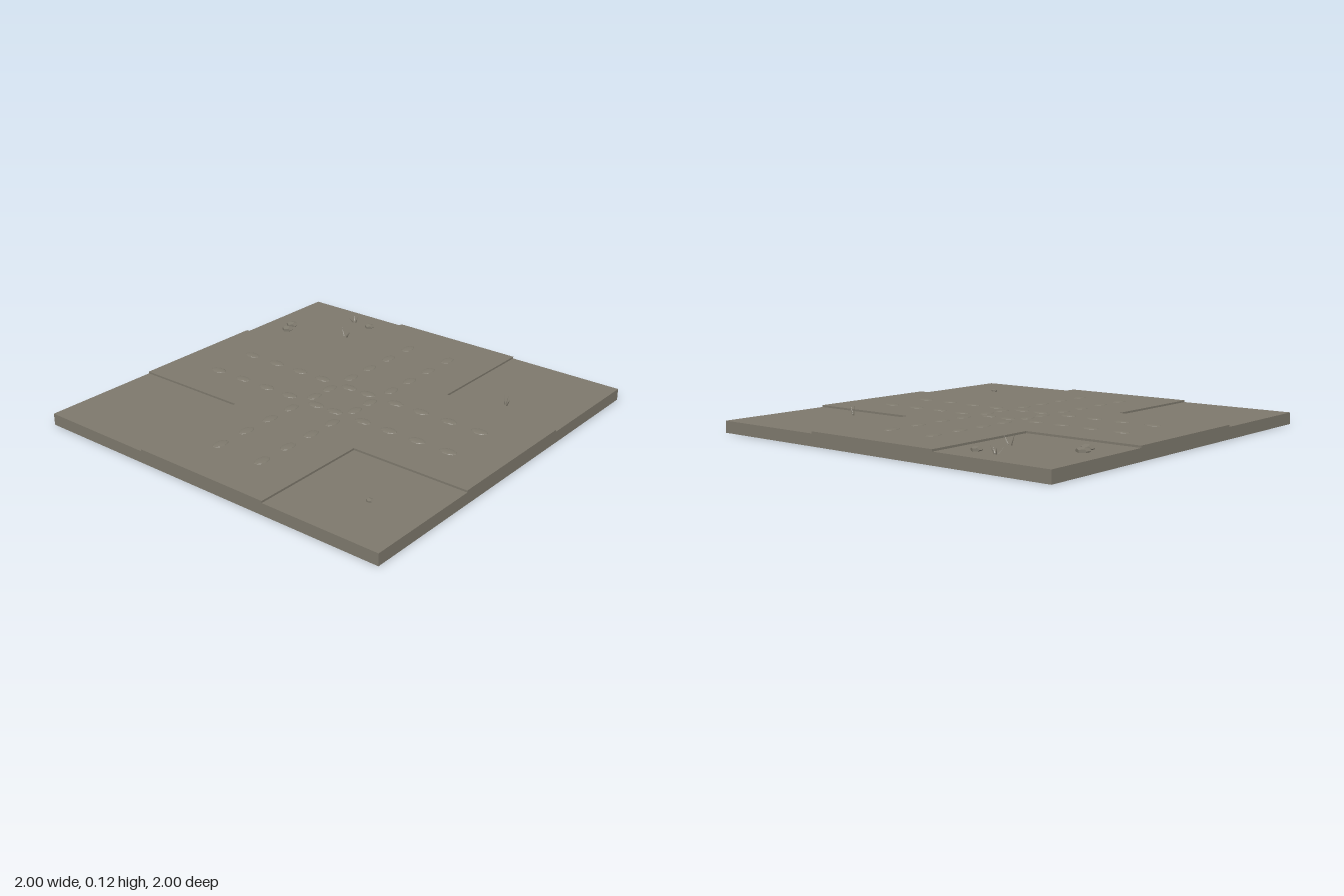
import * as THREE from 'three';

const BASE_TOP = 0.06, ROAD_TOP = 0.07, ROAD_HALF = 0.375;

export function createModel() {
  const group = new THREE.Group();
  const stone = new THREE.MeshStandardMaterial({ color: 0x7d786c, flatShading: true });
  stone.name = 'grey brown earth';

  const add = (name, geometry, x = 0, y = 0, z = 0) => {
    const mesh = new THREE.Mesh(geometry, stone);
    mesh.name = name;
    mesh.position.set(x, y, z);
    group.add(mesh);
    return mesh;
  };

  // Square ground tile
  add('groundSlab', new THREE.BoxGeometry(2, BASE_TOP, 2), 0, BASE_TOP / 2, 0);

  // Raised crossroads, one cross-shaped sheet
  const r = ROAD_HALF;
  const cross = new THREE.Shape([
    [-r, -1], [r, -1], [r, -r], [1, -r], [1, r], [r, r],
    [r, 1], [-r, 1], [-r, r], [-1, r], [-1, -r], [-r, -r],
  ].map(([x, y]) => new THREE.Vector2(x, y)));
  const road = new THREE.ExtrudeGeometry(cross, { depth: ROAD_TOP - BASE_TOP, bevelEnabled: false });
  road.rotateX(-Math.PI / 2);
  add('crossroads', road, 0, BASE_TOP, 0);

  // Low worn lumps along the wheel tracks of both roads
  const lump = new THREE.SphereGeometry(1, 10, 4, 0, Math.PI * 2, 0, Math.PI / 2);
  for (const along of [0.06, 0.235, 0.39, 0.555, 0.73]) {
    for (const end of [-1, 1]) for (const side of [-0.13, 0.13]) {
      add('trackLumpAcross', lump, end * along, ROAD_TOP, side).scale.set(0.046, 0.006, 0.028);
      add('trackLumpAlong', lump, side, ROAD_TOP, end * along).scale.set(0.028, 0.006, 0.046);
    }
  }

  // Flattened rocks: x, z, radius
  const rock = new THREE.DodecahedronGeometry(1, 0);
  for (const [x, z, size] of [
    [-0.866, -0.61, 0.034], [-0.842, -0.545, 0.034], [-0.502, -0.865, 0.028], [0.723, 0.7, 0.018],
  ]) {
    add('rock', rock, x, BASE_TOP + 0.006, z).scale.set(size, size * 0.52, size);
  }

  // Grass tufts: root x, root z, then each tip as x, y, z offsets
  const up = new THREE.Vector3(0, 1, 0);
  const tufts = [
    [-0.62, -0.88, [[-0.015, 0.035, -0.012], [0.02, 0.03, 0.01], [-0.012, 0.03, 0.025], [0.01, 0.04, -0.015]]],
    [-0.525, -0.672, [[-0.025, 0.055, -0.008], [0.035, 0.04, 0.012], [0.015, 0.03, -0.01]]],
    [0.655, -0.478, [[-0.012, 0.065, -0.004], [0.005, 0.05, -0.01], [0.025, 0.045, 0.012]]],
  ];
  for (const [x, z, tips] of tufts) {
    tips.forEach(([dx, dy, dz]) => {
      const lean = new THREE.Vector3(dx, dy, dz);
      const blade = new THREE.ConeGeometry(0.004, lean.length(), 4);
      blade.translate(0, lean.length() / 2, 0);
      add('grassBlade', blade, x + dx * 0.4, BASE_TOP, z + dz * 0.4)
        .quaternion.setFromUnitVectors(up, lean.clone().normalize());
    });
  }

  return group;
}
